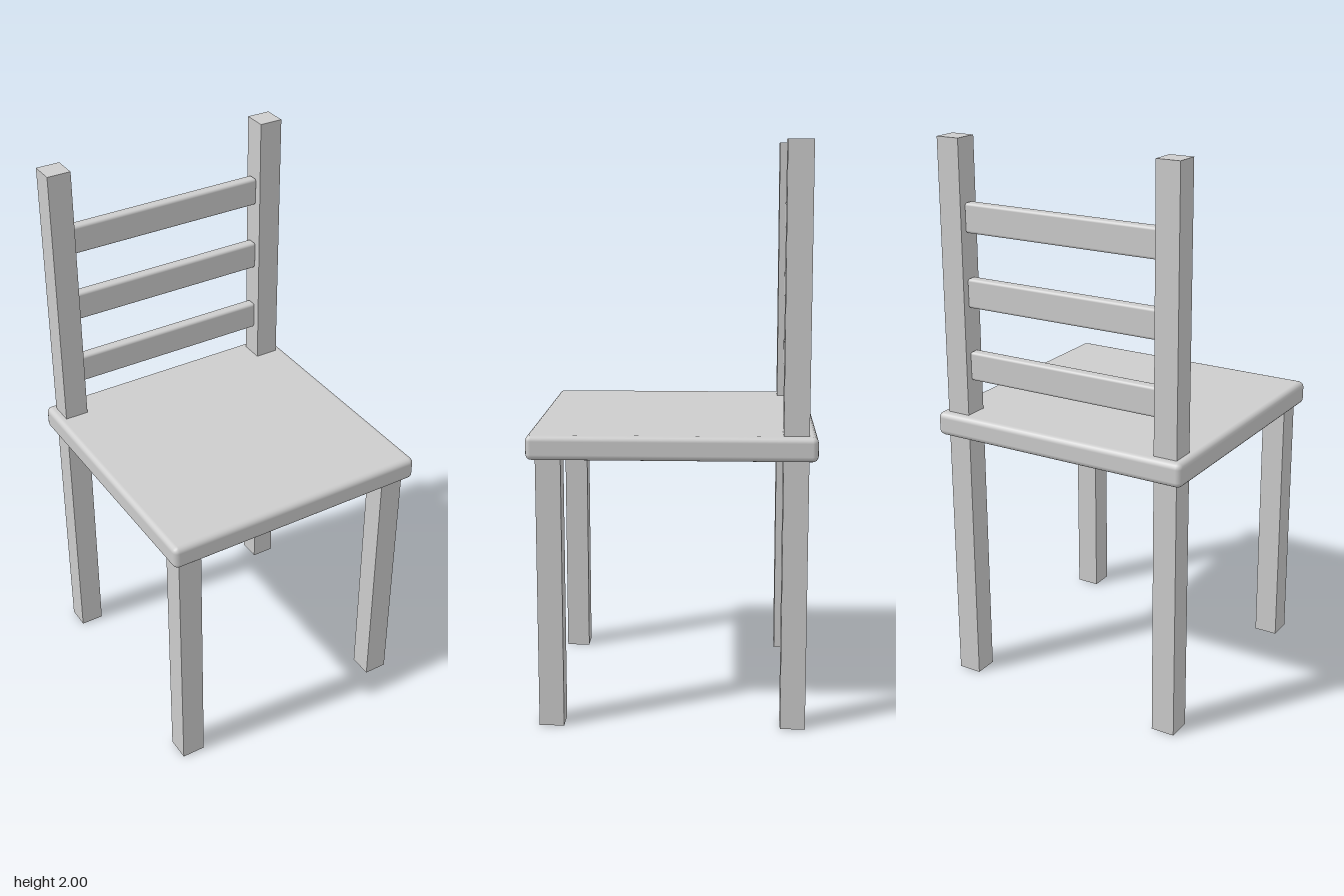
import * as THREE from 'three';
import { RoundedBoxGeometry } from 'three/addons/geometries/RoundedBoxGeometry.js';

export function createModel() {
  const chair = new THREE.Group();
  chair.name = 'chair';
  const grey = new THREE.MeshStandardMaterial({ color: 0xcccccc });
  grey.name = 'light grey';

  const add = (name, geometry, x, y, z) => {
    const mesh = new THREE.Mesh(geometry, grey);
    mesh.name = name;
    mesh.position.set(x, y, z);
    chair.add(mesh);
  };

  // Seat with softened edges
  add('seat', new RoundedBoxGeometry(0.98, 0.085, 0.98, 2, 0.02), 0, 0.9875, 0);

  // Short front legs, and back posts running from floor to top
  const legWidth = 0.086, legOffset = 0.417, frontHeight = 0.96, backHeight = 2;
  for (const [side, s] of [['left', 1], ['right', -1]]) {
    add(side + 'FrontLeg', new THREE.BoxGeometry(legWidth, frontHeight, legWidth),
      s * legOffset, frontHeight / 2, legOffset);
    add(side + 'BackPost', new THREE.BoxGeometry(legWidth, backHeight, legWidth),
      s * legOffset, backHeight / 2, -legOffset);
  }

  // Three slats between the back posts
  [1.206, 1.468, 1.73].forEach((y, i) => {
    add('backSlat' + (i + 1), new RoundedBoxGeometry(0.75, 0.104, 0.042, 2, 0.01), 0, y, -0.418);
  });

  return chair;
}
